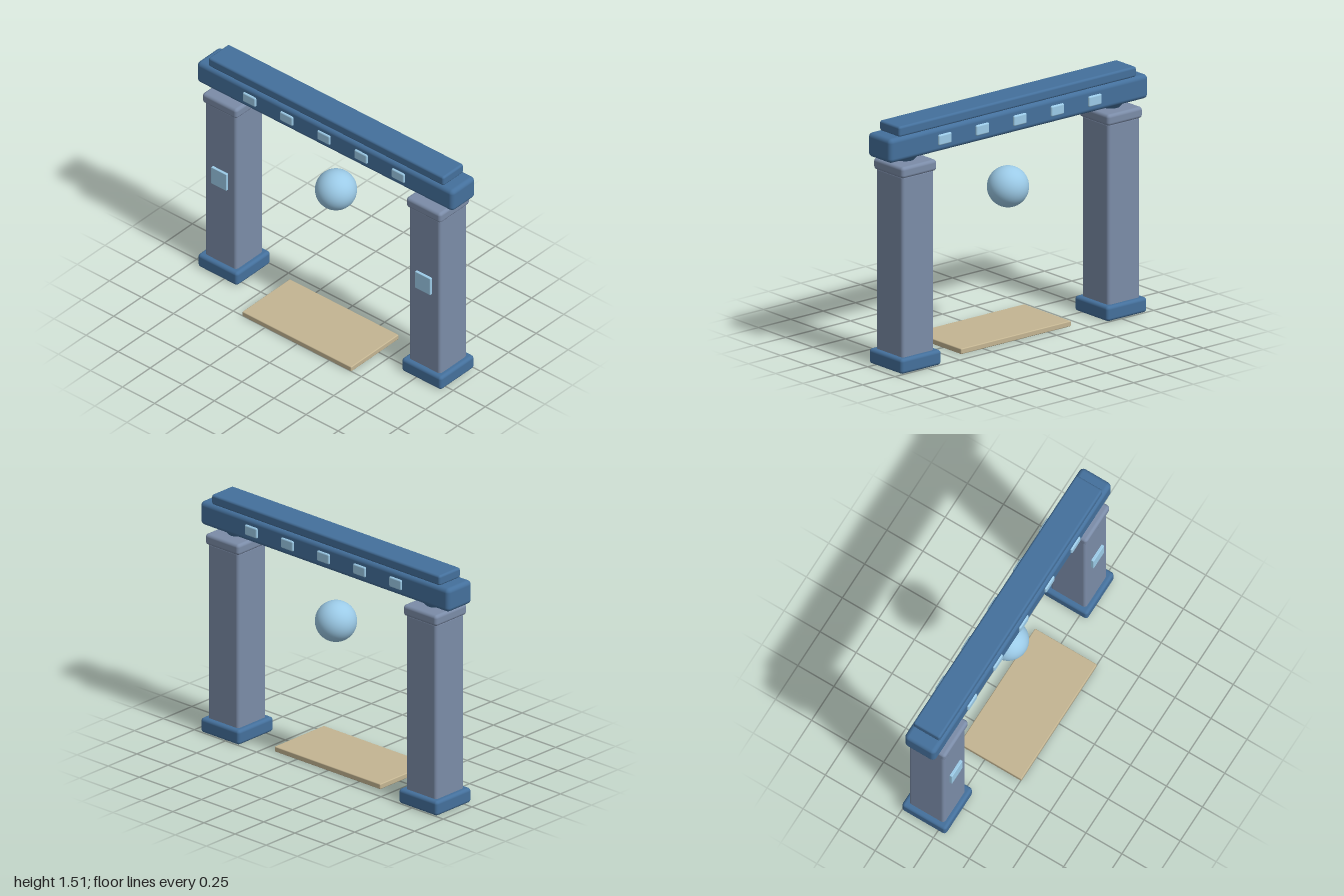
import * as THREE from 'three';
import { RoundedBoxGeometry } from 'three/addons/geometries/RoundedBoxGeometry.js';

const mat = (color) => new THREE.MeshStandardMaterial({ color });
const GATE_Z = -0.1; // depth of the arch's centre plane

export function createModel() {
  const blue = mat(0x44709c), stone = mat(0x7b8ca8), glow = mat(0x9ccbe8), sand = mat(0xc4b592);
  const model = new THREE.Group();
  model.name = 'gateway';

  const add = (parent, name, geometry, material, x, y, z) => {
    const mesh = new THREE.Mesh(geometry, material);
    mesh.name = name;
    mesh.position.set(x, y, z);
    parent.add(mesh);
    return mesh;
  };
  const block = (w, h, d, r) => new RoundedBoxGeometry(w, h, d, 3, r);

  // Two matching pillars
  for (const side of [-1, 1]) {
    const pillar = new THREE.Group();
    pillar.name = side > 0 ? 'leftPillar' : 'rightPillar';
    pillar.position.set(side * 0.795, 0, GATE_Z);
    model.add(pillar);
    add(pillar, 'base', block(0.31, 0.093, 0.306, 0.02), blue, 0, 0.0485, 0);
    add(pillar, 'shaft', block(0.246, 1.19, 0.246, 0.02), stone, 0, 0.625, 0);
    add(pillar, 'capital', block(0.27, 0.07, 0.272, 0.02), stone, 0, 1.24, 0);
    add(pillar, 'neck', new THREE.CylinderGeometry(0.09, 0.05, 0.045, 24), blue, 0, 1.292, 0);
    add(pillar, 'pillarLight', block(0.12, 0.12, 0.03, 0.004), glow, 0, 0.71, 0.125);
  }

  // Lintel beam with its top slab
  add(model, 'beam', block(2, 0.15, 0.212, 0.028), blue, 0, 1.38, GATE_Z);
  add(model, 'topSlab', block(1.835, 0.064, 0.184, 0.014), blue, 0, 1.484, GATE_Z);

  // Small lights along both faces of the beam
  for (let i = -2; i <= 2; i++) {
    for (const face of [-1, 1]) {
      add(model, 'beamLight', block(0.1, 0.066, 0.03, 0.01), glow, i * 0.29, 1.38, GATE_Z + face * 0.102);
    }
  }

  // Floating orb and floor plate
  add(model, 'orb', new THREE.SphereGeometry(0.125, 40, 28), glow, 0, 0.94, GATE_Z);
  add(model, 'floorPlate', block(0.85, 0.034, 0.43, 0.006), sand, 0, 0.02, 0.04);

  return model;
}
